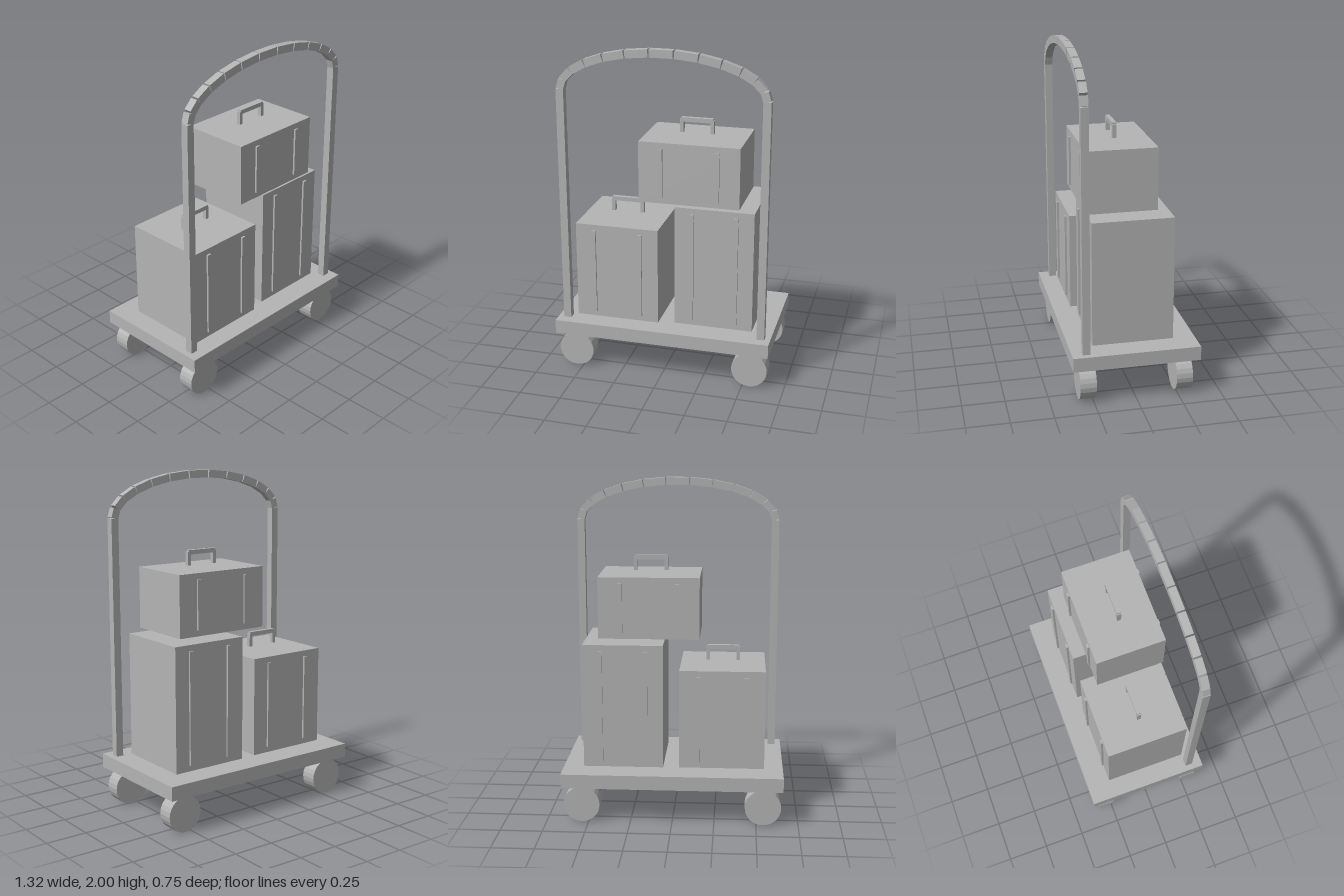
import * as THREE from 'three';

const grey = new THREE.MeshStandardMaterial({ color: 0xb4b4b4, flatShading: true });
grey.name = 'plain grey';

function add(parent, name, geometry, x, y, z) {
  const mesh = new THREE.Mesh(geometry, grey);
  mesh.name = name;
  mesh.position.set(x, y, z);
  parent.add(mesh);
  return mesh;
}

function box(parent, name, w, h, d, x, y, z) {
  return add(parent, name, new THREE.BoxGeometry(w, h, d), x, y, z);
}

// Suitcase with its origin at the centre of its bottom face
function suitcase(name, w, h, d) {
  const g = new THREE.Group();
  g.name = name;
  box(g, 'caseBody', w, h, d, 0, h / 2, 0);
  for (const sx of [-1, 1]) {
    for (const sz of [-1, 1]) {
      box(g, 'strap', 0.025, h - 0.072, 0.024, sx * w * 0.28, h / 2, sz * d / 2);
    }
    box(g, 'handlePost', 0.022, 0.08, 0.025, sx * 0.091, h + 0.054, 0);
  }
  box(g, 'handleBar', 0.19, 0.026, 0.025, 0, h + 0.091, 0);
  return g;
}

export function createModel() {
  const model = new THREE.Group();
  model.name = 'luggageCart';

  // Platform
  box(model, 'platform', 1.316, 0.085, 0.75, 0, 0.2645, 0);

  // Wheels
  const wheel = new THREE.CylinderGeometry(0.108, 0.108, 0.096, 24).rotateX(Math.PI / 2);
  for (const x of [-0.54, 0.54]) {
    for (const z of [-0.285, 0.285]) add(model, 'wheel', wheel, x, 0.108, z);
  }

  // Upright poles
  const poleTop = 1.743, poleZ = 0.291;
  for (const x of [-0.6, 0.6]) {
    box(model, 'pole', 0.046, poleTop - 0.307, 0.045, x, (poleTop + 0.307) / 2, poleZ);
  }

  // Segmented arch following half an ellipse
  const arch = new THREE.Group();
  arch.name = 'arch';
  model.add(arch);
  const count = 13;
  const point = (i) => {
    const t = (i / count) * Math.PI;
    return new THREE.Vector2(0.6 * Math.cos(t), poleTop + 0.236 * Math.sin(t));
  };
  for (let i = 0; i < count; i++) {
    const a = point(i), b = point(i + 1);
    const segment = box(arch, 'archSegment', a.distanceTo(b) * 0.95, 0.046, 0.045,
      (a.x + b.x) / 2, (a.y + b.y) / 2, poleZ);
    segment.rotation.z = Math.atan2(b.y - a.y, b.x - a.x);
  }

  // Luggage
  const cases = [
    ['mediumSuitcase', 0.508, 0.596, 0.5, -0.291, 0.317, 0.017],
    ['tallSuitcase', 0.476, 0.746, 0.48, 0.296, 0.317, 0.001],
    ['topSuitcase', 0.6, 0.367, 0.418, 0.147, 1.085, 0.048],
  ];
  for (const [name, w, h, d, x, y, z] of cases) {
    const c = suitcase(name, w, h, d);
    c.position.set(x, y, z);
    model.add(c);
  }

  return model;
}
